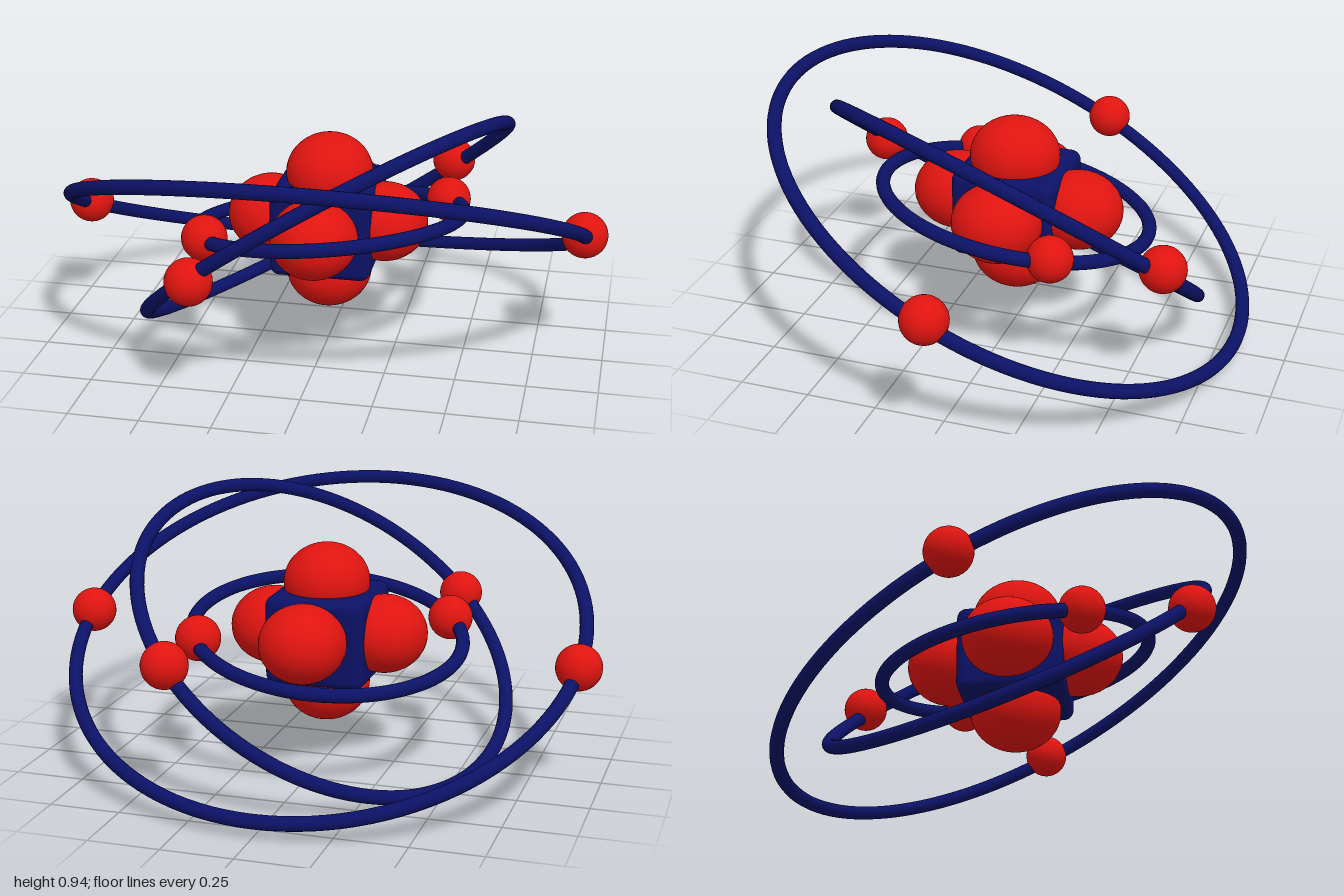
import * as THREE from 'three';
import { RoundedBoxGeometry } from 'three/addons/geometries/RoundedBoxGeometry.js';

const CENTRE_Y = 0.475;

export function createModel() {
  const model = new THREE.Group();
  model.name = 'atom';
  const red = new THREE.MeshStandardMaterial({ color: 0xe01410 });
  const blue = new THREE.MeshStandardMaterial({ color: 0x0c1266 });

  const add = (parent, name, geometry, material, position) => {
    const mesh = new THREE.Mesh(geometry, material);
    mesh.name = name;
    mesh.position.set(...position);
    parent.add(mesh);
    return mesh;
  };

  // Nucleus: a rounded block with a slightly flattened ball on each face
  const nucleus = new THREE.Group();
  nucleus.name = 'nucleus';
  model.add(nucleus);
  add(nucleus, 'nucleusCore', new RoundedBoxGeometry(0.36, 0.32, 0.38, 4, 0.035), blue, [0, CENTRE_Y, 0]);

  const ball = new THREE.SphereGeometry(1, 40, 28);
  const balls = {
    topBall: [0.005, 0.66, 0.005],
    bottomBall: [0.003, 0.29, 0],
    leftBall: [0.205, 0.485, 0.005],
    rightBall: [-0.21, 0.485, 0],
    frontBall: [-0.008, 0.487, 0.225],
    backBall: [0.02, 0.49, -0.235],
  };
  for (const [name, position] of Object.entries(balls)) {
    add(nucleus, name, ball, red, position).scale.set(0.154, 0.139, 0.161);
  }

  // Orbits: tilted rings, each carrying two electrons
  const orbits = [
    { name: 'outer', radius: 0.92, normal: [0, 1, -0.503],
      electrons: [[0.912, 0.485, -0.005], [-0.918, 0.445, -0.08]] },
    { name: 'middle', radius: 0.725, normal: [-0.53, 0.79, -0.308],
      electrons: [[0.37, 0.498, -0.635], [-0.34, 0.485, 0.648]] },
    { name: 'inner', radius: 0.485, normal: [-0.11, 1, -0.16],
      electrons: [[0.4, 0.485, -0.253], [-0.385, 0.485, 0.28]] },
  ];
  const electron = new THREE.SphereGeometry(0.081, 32, 20);
  const ringAxis = new THREE.Vector3(0, 0, 1);
  for (const { name, radius, normal, electrons } of orbits) {
    const orbit = new THREE.Group();
    orbit.name = name + 'Orbit';
    model.add(orbit);
    const ring = add(orbit, name + 'Ring', new THREE.TorusGeometry(radius, 0.025, 16, 120), blue, [0, CENTRE_Y, 0]);
    ring.quaternion.setFromUnitVectors(ringAxis, new THREE.Vector3(...normal).normalize());
    electrons.forEach((position, i) => add(orbit, `${name}Electron${i + 1}`, electron, red, position));
  }
  return model;
}
